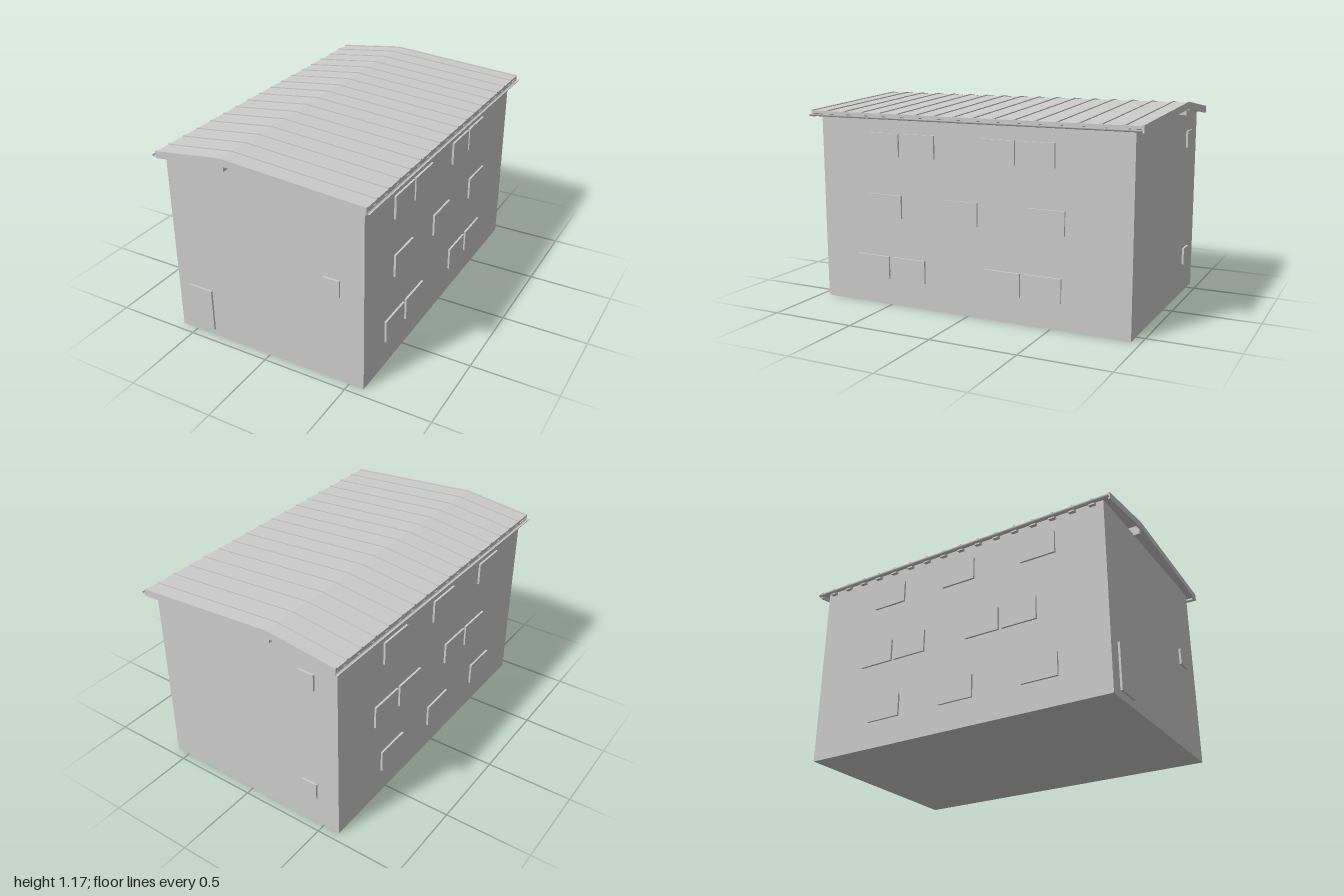
import * as THREE from 'three';

const material = new THREE.MeshStandardMaterial({ color: 0xcccccc, flatShading: true });
const openMaterial = new THREE.MeshStandardMaterial({ color: 0xcccccc, side: THREE.DoubleSide });

// Box given by its limits along each axis
function box(name, x0, x1, y0, y1, z0, z1) {
  const mesh = new THREE.Mesh(new THREE.BoxGeometry(x1 - x0, y1 - y0, z1 - z0), material);
  mesh.position.set((x0 + x1) / 2, (y0 + y1) / 2, (z0 + z1) / 2);
  mesh.name = name;
  return mesh;
}

// Roof line: left eave, off-centre ridge, right eave
const roofLine = [[-0.625, 1.113], [-0.21, 1.167], [0.622, 1.112]];

// Band following the roof line between two heights relative to it
function roofBand(name, top, bottom, z0, z1) {
  const upper = roofLine.map(([x, y]) => new THREE.Vector2(x, y + top));
  const lower = roofLine.map(([x, y]) => new THREE.Vector2(x, y + bottom)).reverse();
  const geometry = new THREE.ExtrudeGeometry(new THREE.Shape([...upper, ...lower]), {
    depth: z1 - z0, bevelEnabled: false,
  });
  const mesh = new THREE.Mesh(geometry, material);
  mesh.position.z = z0;
  mesh.name = name;
  return mesh;
}

export function createModel() {
  const model = new THREE.Group();
  model.name = 'house';
  const left = -0.6, right = 0.587, end = 0.95, out = 0.012;

  model.add(box('walls', left, right, 0, 1.107, -end, end));

  // Side windows: start of each window along z, per storey
  const width = 0.213, height = 0.132;
  const rightRows = [
    [0.155, [0.508, 0.27, -0.322, -0.562]],
    [0.518, [0.417, -0.067, -0.58]],
    [0.87, [0.428, 0.198, -0.292, -0.522]],
  ];
  const leftRows = [
    [0.157, [-0.557, -0.07, 0.445]],
    [0.51, [-0.63, -0.398, 0.093, 0.326]],
    [0.877, [-0.557, -0.07, 0.445]],
  ];
  for (const [y, starts] of rightRows)
    for (const z of starts)
      model.add(box('rightWindow', right - 0.01, right + out, y, y + height, z, z + width));
  for (const [y, starts] of leftRows)
    for (const z of starts)
      model.add(box('leftWindow', left - out, left + 0.01, y, y + height, z, z + width));

  // Front door and small end windows
  model.add(box('door', -0.523, -0.37, 0.04, 0.3, end - 0.01, end + out));
  model.add(box('frontWindow', 0.355, 0.45, 0.535, 0.633, end - 0.01, end + out));
  for (const y of [0.18, 0.89])
    model.add(box('backWindow', -0.462, -0.367, y, y + 0.098, -end - out, -end + 0.01));

  // Roof deck, gable boards and ridge beam
  model.add(roofBand('roofDeck', 0, -0.014, -1, 1));
  for (const z of [-1, 0.988]) model.add(roofBand('gableBoard', 0.005, -0.036, z, z + 0.012));
  model.add(box('ridgeBeam', -0.222, -0.197, 1.096, 1.152, -0.99, 0.99));

  // Standing seams on top and rafters below, at even spacing
  for (let i = 0; i < 16; i++) {
    const z = 0.89 - i * 0.1195;
    model.add(roofBand('roofSeam', 0.006, -0.002, z - 0.007, z + 0.007));
    model.add(roofBand('rafter', -0.012, -0.034, z - 0.018, z + 0.018));
  }

  // Half-round gutters along both eaves
  for (const x of [-0.636, 0.634]) {
    const geometry = new THREE.CylinderGeometry(0.011, 0.011, 2, 12, 1, true, -Math.PI / 2, Math.PI);
    geometry.rotateX(Math.PI / 2);
    const gutter = new THREE.Mesh(geometry, openMaterial);
    gutter.position.set(x, 1.093, 0);
    gutter.name = 'gutter';
    model.add(gutter);
  }
  return model;
}
